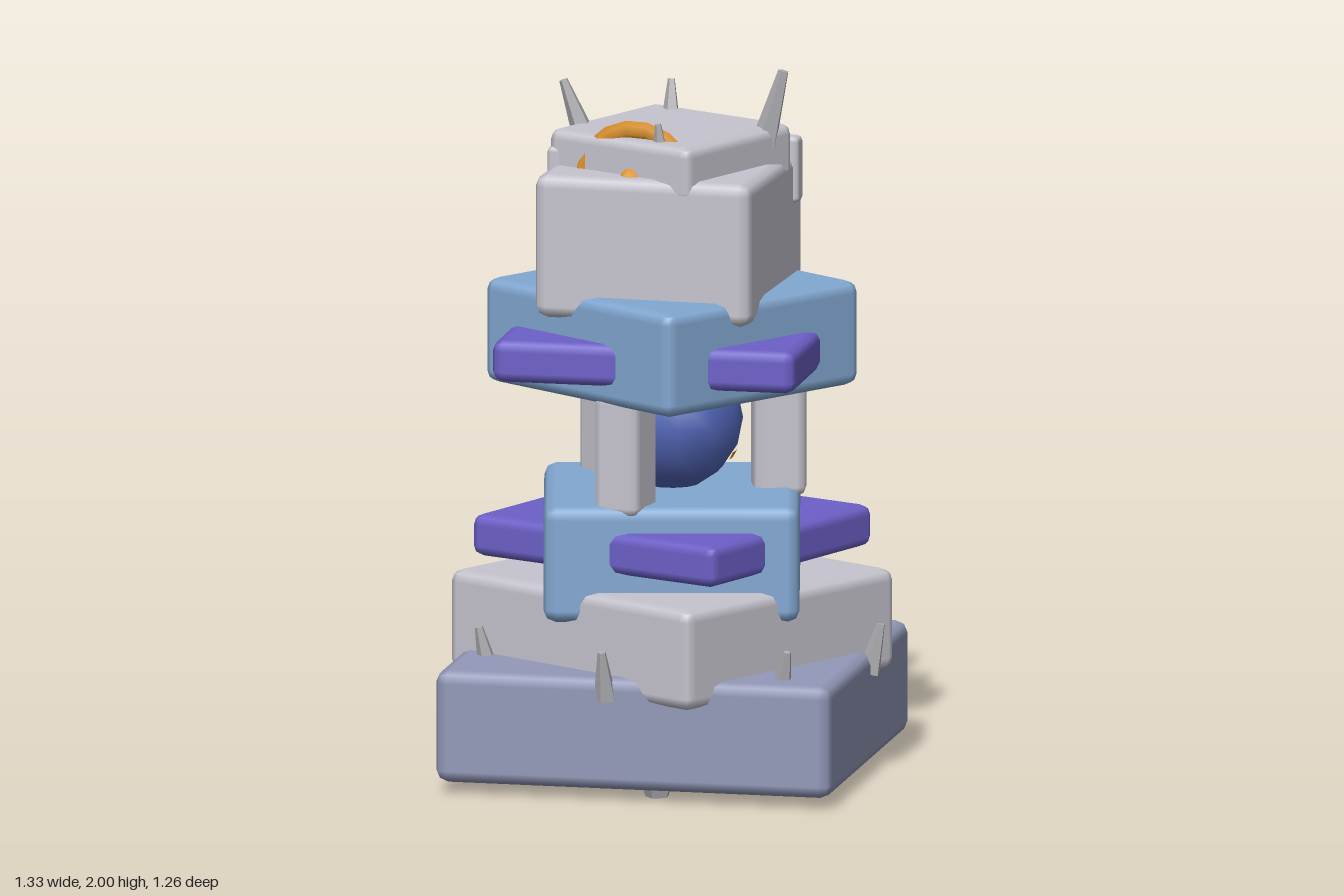
import * as THREE from 'three';
import { RoundedBoxGeometry } from 'three/addons/geometries/RoundedBoxGeometry.js';

const paint = (name, color, flatShading = false) => {
  const m = new THREE.MeshStandardMaterial({ color, flatShading });
  m.name = name;
  return m;
};

export function createModel() {
  const slate = paint('slate', 0x9298b8);
  const paleStone = paint('paleStone', 0xc6c4ce);
  const blue = paint('blue', 0x82a8d2);
  const purple = paint('purple', 0x6c60c8);
  const orbBlue = paint('orbBlue', 0x5266b8);
  const orange = paint('orange', 0xe0942c);
  const spikeGrey = paint('spikeGrey', 0xacacb0, true);

  const model = new THREE.Group();
  model.name = 'stackedTower';

  const add = (name, geometry, material, x = 0, y = 0, z = 0) => {
    const mesh = new THREE.Mesh(geometry, material);
    mesh.name = name;
    mesh.position.set(x, y, z);
    model.add(mesh);
    return mesh;
  };

  // Bevelled block spanning y0..y1, twisted about the vertical axis
  const block = (name, mat, w, d, y0, y1, turn, x = 0, z = 0, bevel = 0.035) => {
    const mesh = add(name, new RoundedBoxGeometry(w, y1 - y0, d, 1, bevel), mat, x, (y0 + y1) / 2, z);
    mesh.rotation.y = turn;
    return mesh;
  };

  // Stack of twisted blocks; overhanging corners sink past the block beneath
  block('baseSlab', slate, 1.14, 1.04, 0.03, 0.35, 0.23);
  block('lowerStone', paleStone, 0.92, 0.87, 0.28, 0.57, -0.295);
  block('lowerBlueBlock', blue, 0.72, 0.71, 0.48, 0.81, 0.445);
  block('lowerPurpleBand', purple, 0.84, 0.78, 0.62, 0.74, -0.17, 0, 0, 0.03);
  block('upperBlueBlock', blue, 0.765, 0.745, 1.1, 1.4, -0.367);
  block('upperPurpleBand', purple, 0.87, 0.80, 1.16, 1.28, 0.24, 0, 0, 0.03);
  block('upperStone', paleStone, 0.63, 0.59, 1.33, 1.74, 0.187, 0, 0.024);
  block('capStone', paleStone, 0.5, 0.49, 1.68, 1.84, -0.21, 0, 0.01, 0.03);

  // Drips hanging from the cap corners
  block('capDripBack', paleStone, 0.05, 0.06, 1.6, 1.79, 0.187, 0.262, -0.235, 0.015);
  block('capDripSide', paleStone, 0.05, 0.06, 1.61, 1.79, 0.187, -0.27, 0.18, 0.015);

  // Three pillars around the orb
  for (let i = 0; i < 3; i++) {
    const a = i * Math.PI * 2 / 3;
    block('pillar', paleStone, 0.14, 0.15, 0.78, 1.13, a, 0.3 * Math.sin(a), 0.3 * Math.cos(a), 0.028);
  }

  // Orb with a small glowing sliver
  add('orb', new THREE.SphereGeometry(0.2, 12, 8), orbBlue, 0, 1.0, 0);
  add('orbSliver', new THREE.SphereGeometry(0.203, 6, 2, 3.2, 0.45, 2.0, 0.12), orange, 0, 1.0, 0);

  // Thin ring and bead set into the front of the cap
  const ring = new THREE.TorusGeometry(0.175, 0.025, 6, 18);
  ring.scale(1, 1, 0.5);
  add('frontRing', ring, orange, -0.005, 1.69, 0.215);
  add('ringBead', new THREE.SphereGeometry(0.037, 8, 6), orange, -0.005, 1.725, 0.25);

  // Blunt five-sided spike from a base point to a tip point
  const spike = (name, from, to, r) => {
    const a = new THREE.Vector3(...from), b = new THREE.Vector3(...to);
    const dir = b.clone().sub(a);
    const geo = new THREE.CylinderGeometry(r * 0.35, r, dir.length(), 5);
    const mesh = add(name, geo, spikeGrey, ...a.clone().add(b).multiplyScalar(0.5).toArray());
    mesh.quaternion.setFromUnitVectors(new THREE.Vector3(0, 1, 0), dir.normalize());
  };

  // Crown spikes
  spike('crownSpike', [-0.235, 1.79, 0.07], [-0.295, 1.96, 0.09], 0.036);
  spike('crownSpike', [-0.1, 1.79, -0.2], [-0.115, 1.92, -0.235], 0.03);
  spike('crownSpike', [0.075, 1.79, 0.225], [0.07, 1.89, 0.235], 0.026);
  spike('crownSpike', [0.23, 1.74, -0.09], [0.295, 2.0, -0.11], 0.044);

  // Base spikes
  const baseSpikes = [[0.04, 0.52], [-0.41, 0.35], [-0.56, -0.08], [0.55, -0.16], [0.49, 0.3], [0.2, -0.5]];
  for (const [x, z] of baseSpikes)
    spike('baseSpike', [x * 0.98, 0.29, z * 0.98], [x * 1.04, 0.43, z * 1.04], 0.034);

  // Short feet under the slab
  for (let i = 0; i < 6; i++) {
    const a = 0.17 + i * Math.PI / 3;
    add('foot', new THREE.CylinderGeometry(0.055, 0.035, 0.06, 5), spikeGrey,
      0.42 * Math.cos(a), 0.03, 0.42 * Math.sin(a));
  }

  return model;
}
